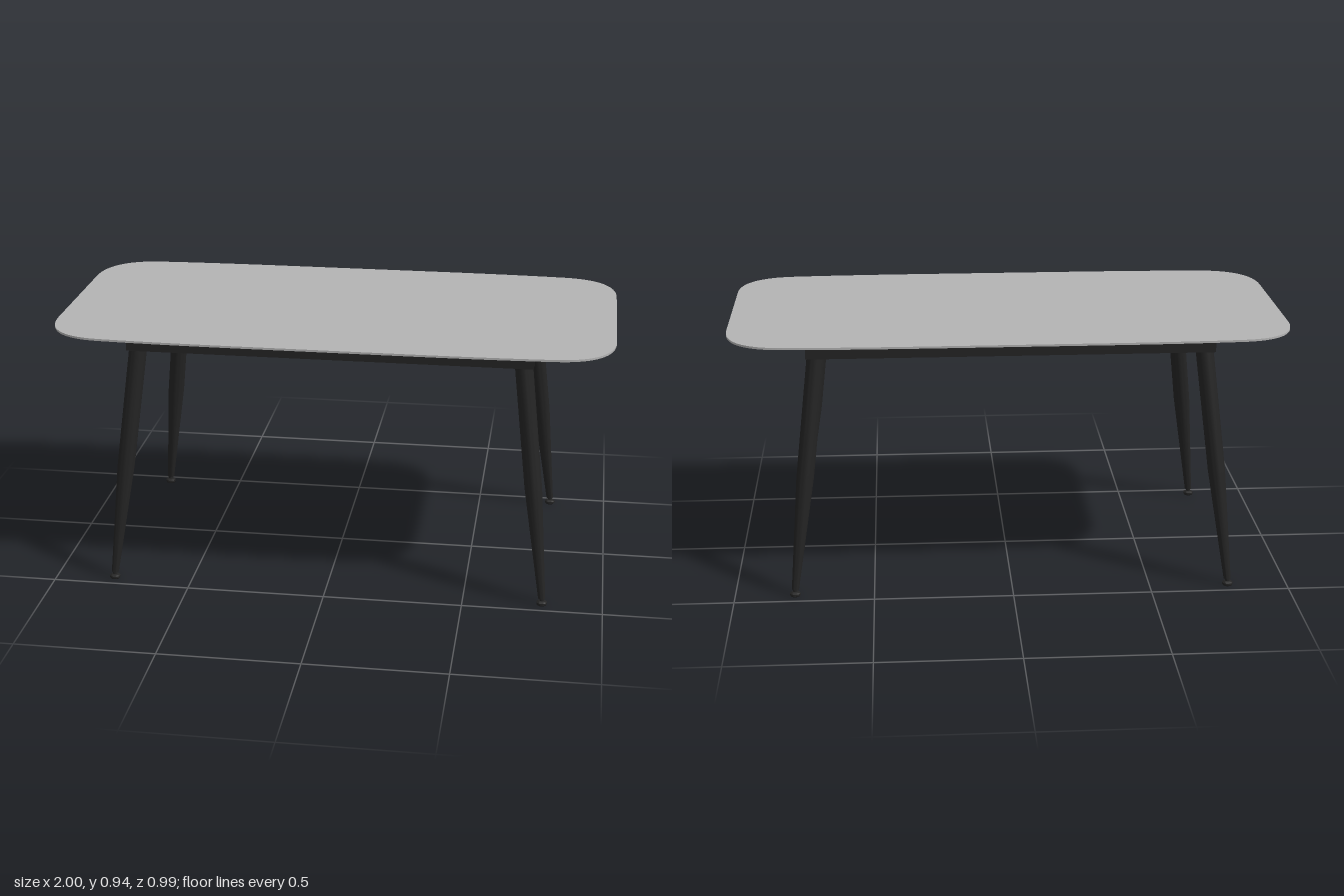
import * as THREE from 'three';
import { toCreasedNormals } from 'three/addons/utils/BufferGeometryUtils.js';

const TOP_Y = 0.94, FRAME_TOP = 0.925, FRAME_BOTTOM = 0.868;

// Quarter outline mirrored into the softly bowed, rounded table plan
function topOutline() {
  const q = [];
  const corner = new THREE.CubicBezierCurve(
    new THREE.Vector2(1, 0.26), new THREE.Vector2(1, 0.4),
    new THREE.Vector2(0.93, 0.477), new THREE.Vector2(0.8, 0.485));
  const side = new THREE.QuadraticBezierCurve(
    new THREE.Vector2(0.8, 0.485), new THREE.Vector2(0.6, 0.497), new THREE.Vector2(0.3, 0.497));
  q.push(...corner.getPoints(16), ...side.getPoints(6).slice(1));
  const flip = (sx, sy) => q.map(p => new THREE.Vector2(p.x * sx, p.y * sy));
  return [...flip(1, 1), ...flip(-1, 1).reverse(), ...flip(-1, -1), ...flip(1, -1).reverse()];
}

// Thin slab whose lower edge is bevelled inwards
function tableTopGeometry() {
  const h = TOP_Y - FRAME_TOP;
  const geo = new THREE.ExtrudeGeometry(new THREE.Shape(topOutline()), { depth: h, steps: 2, bevelEnabled: false });
  geo.rotateX(-Math.PI / 2);
  const p = geo.attributes.position;
  for (let i = 0; i < p.count; i++) {
    if (p.getY(i) < 0.001) p.setXYZ(i, p.getX(i) * 0.97, 0, p.getZ(i) * 0.94);
  }
  geo.translate(0, FRAME_TOP, 0);
  return toCreasedNormals(geo, 0.25);
}

// Rectangular ring of rails
function frameGeometry(x, z, w) {
  const rect = (a, b) => [[-a, -b], [a, -b], [a, b], [-a, b]].map(c => new THREE.Vector2(...c));
  const shape = new THREE.Shape(rect(x, z));
  shape.holes.push(new THREE.Path(rect(x - w, z - w).reverse()));
  const geo = new THREE.ExtrudeGeometry(shape, { depth: FRAME_TOP - FRAME_BOTTOM, bevelEnabled: false });
  return geo.rotateX(-Math.PI / 2).translate(0, FRAME_BOTTOM, 0);
}

// Tapered leg, sheared outwards so that both ends stay level
function legGeometry(sx, sz) {
  const profile = [[0, 0.026], [0.013, 0.026], [0.031, 0.43], [0.032, 0.88], [0, 0.88]];
  let geo = new THREE.LatheGeometry(profile.map(c => new THREE.Vector2(...c)), 28);
  const p = geo.attributes.position;
  for (let i = 0; i < p.count; i++) {
    const t = (FRAME_BOTTOM - p.getY(i)) / (FRAME_BOTTOM - 0.026);
    p.setX(i, p.getX(i) + sx * (0.685 + 0.098 * t));
    p.setZ(i, p.getZ(i) + sz * (0.355 + 0.096 * t));
  }
  geo = toCreasedNormals(geo, 0.6);
  return geo;
}

export function createModel() {
  const model = new THREE.Group();
  model.name = 'diningTable';
  const greyTop = new THREE.MeshStandardMaterial({ color: 0xb4b4b4 });
  greyTop.name = 'greyTop';
  const blackMetal = new THREE.MeshStandardMaterial({ color: 0x242424 });
  blackMetal.name = 'blackMetal';
  const add = (parent, name, geo, mat = blackMetal) => {
    const mesh = new THREE.Mesh(geo, mat);
    mesh.name = name;
    parent.add(mesh);
    return mesh;
  };

  add(model, 'tableTop', tableTopGeometry(), greyTop);
  add(model, 'frame', frameGeometry(0.72, 0.39, 0.045));

  // Levelling foot: disc pad and threaded stem
  const footGeo = toCreasedNormals(new THREE.LatheGeometry(
    [[0, 0], [0.016, 0], [0.019, 0.004], [0.019, 0.011], [0.014, 0.015], [0.008, 0.017], [0.008, 0.027]]
      .map(c => new THREE.Vector2(...c)), 20), 0.6);

  for (const sx of [1, -1]) {
    for (const sz of [1, -1]) {
      const side = (sz > 0 ? 'front' : 'back') + (sx > 0 ? 'Left' : 'Right');
      const corner = new THREE.Group();
      corner.name = side + 'Corner';
      model.add(corner);
      add(corner, side + 'Leg', legGeometry(sx, sz));
      add(corner, side + 'Foot', footGeo).position.set(sx * 0.784, 0, sz * 0.452);

      // Triangular mounting plate across the frame corner
      const pts = [[0.7, 0.37], [0.59, 0.37], [0.59, 0.345], [0.675, 0.26], [0.7, 0.26]]
        .map(([x, z]) => new THREE.Vector2(sx * x, -sz * z));
      const plate = new THREE.ExtrudeGeometry(new THREE.Shape(pts), { depth: 0.005, bevelEnabled: false });
      add(corner, side + 'Plate', plate.rotateX(-Math.PI / 2)).position.y = FRAME_BOTTOM - 0.003;

      // Bolts through the plate
      for (const [x, z] of [[0.61, 0.352], [0.682, 0.29]]) {
        add(corner, side + 'Bolt', new THREE.CylinderGeometry(0.005, 0.005, 0.012, 10))
          .position.set(sx * x, FRAME_BOTTOM - 0.003, sz * z);
      }
    }
  }
  return model;
}
